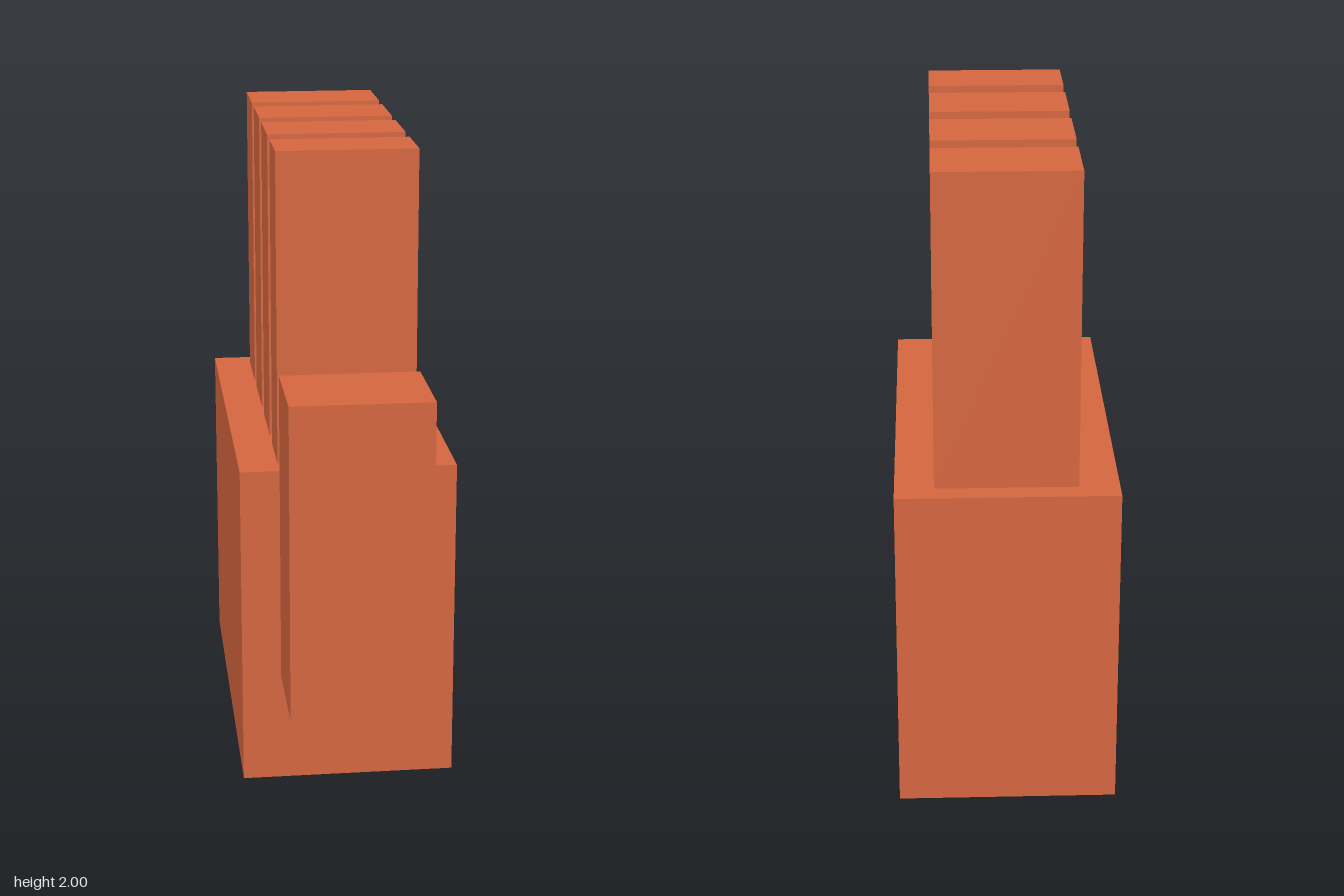
import * as THREE from 'three';

export function createModel() {
  const model = new THREE.Group();
  model.name = 'blockHand';
  const material = new THREE.MeshStandardMaterial({ color: 0xd4663f, flatShading: true });

  // Box given by its lower and upper limits on each axis
  function block(name, [x0, x1], [y0, y1], [z0, z1]) {
    const mesh = new THREE.Mesh(new THREE.BoxGeometry(x1 - x0, y1 - y0, z1 - z0), material);
    mesh.position.set((x0 + x1) / 2, (y0 + y1) / 2, (z0 + z1) / 2);
    mesh.name = name;
    model.add(mesh);
  }

  const palmTop = 1.03;
  const palmFront = 0.485;
  const digitX = [-0.213, 0.217];

  block('palm', [-0.335, 0.335], [0, palmTop], [-0.807, palmFront]);
  block('thumb', digitX, [0.347, 1.333], [palmFront, 0.807]);

  // Four fingers standing on the palm, from the thumb side to the back
  const fingers = {
    indexFinger: [0.21, 0.412],
    middleFinger: [-0.105, 0.123],
    ringFinger: [-0.422, -0.188],
    littleFinger: [-0.74, -0.5],
  };
  for (const [name, z] of Object.entries(fingers)) block(name, digitX, [palmTop, 2], z);

  return model;
}
